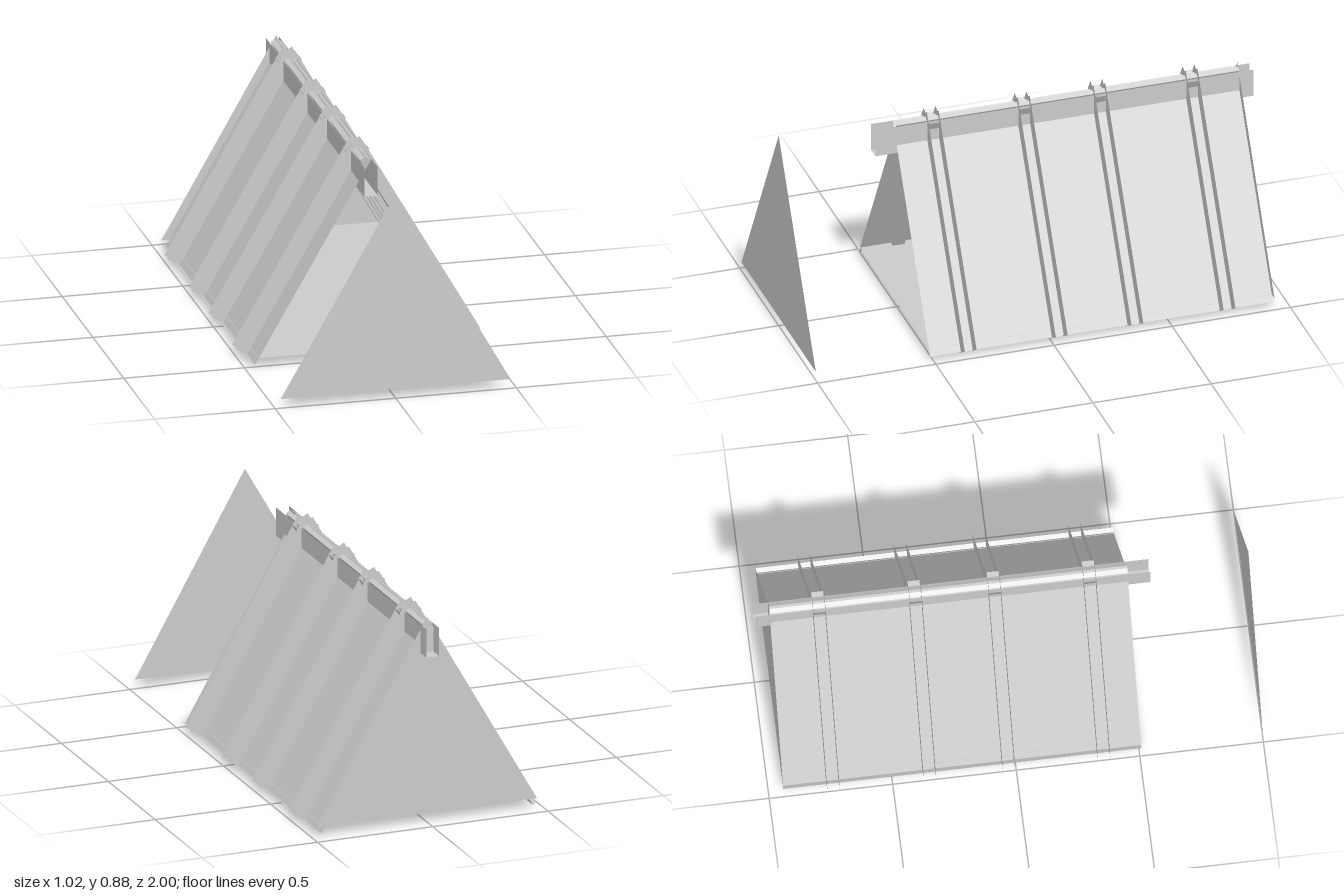
import * as THREE from 'three';
import { mergeGeometries } from 'three/addons/utils/BufferGeometryUtils.js';

const material = new THREE.MeshStandardMaterial({
  color: 0xcccccc, side: THREE.DoubleSide, flatShading: true,
});

function part(name, geometry, x = 0, y = 0, z = 0) {
  const mesh = new THREE.Mesh(geometry, material);
  mesh.name = name;
  mesh.position.set(x, y, z);
  return mesh;
}

// Thin U channel running along z: base at y = 0, two flanges rising, open on top and at the ends
function channel(width, depth, length) {
  const base = new THREE.PlaneGeometry(width, length).rotateX(-Math.PI / 2);
  const flanges = [-1, 1].map((s) =>
    new THREE.PlaneGeometry(length, depth)
      .rotateY(s * Math.PI / 2)
      .translate(s * width / 2, depth / 2, 0));
  return mergeGeometries([base, ...flanges]);
}

// Triangular end wall
function gable() {
  const shape = new THREE.Shape();
  shape.moveTo(-0.477, 0.041);
  shape.lineTo(0.477, 0.041);
  shape.lineTo(0, 0.876);
  shape.closePath();
  return new THREE.ShapeGeometry(shape);
}

export function createModel() {
  const model = new THREE.Group();
  model.name = 'aFrameHut';

  const zFront = 0.51, zBack = -0.94;
  const length = zFront - zBack, zMid = (zFront + zBack) / 2;
  const rafterZ = [0.355, -0.03, -0.35, -0.74];

  // Two leaning roof sides, crossing at the ridge
  for (const s of [1, -1]) {
    const side = s > 0 ? 'left' : 'right';

    const panel = part(side + 'RoofPanel', channel(0.962, 0.02, length), s * 0.2175, 0.4315, zMid);
    panel.rotation.z = -s * Math.PI / 3;
    model.add(panel);

    // Rafter channels cut through the panel, open side outward
    const rafterGeometry = channel(0.05, 0.08, 0.975).rotateY(Math.PI / 2);
    for (const z of rafterZ) {
      const rafter = part(side + 'Rafter', rafterGeometry, s * 0.195, 0.424, z);
      rafter.rotation.z = -s * Math.PI / 3;
      model.add(rafter);
    }
  }

  // Ridge beam, open upward, overhanging both ends
  model.add(part('ridgeBeam', channel(0.055, 0.12, 1.6), 0, 0.725, -0.2));

  // Floor
  const floor = new THREE.PlaneGeometry(0.89, length).rotateX(-Math.PI / 2);
  model.add(part('floor', floor, 0, 0.041, zMid));

  // Back wall in place, front wall standing clear of the hut
  model.add(part('backWall', gable(), 0, 0, zBack));
  model.add(part('frontWall', gable(), 0, 0, 1));

  return model;
}
